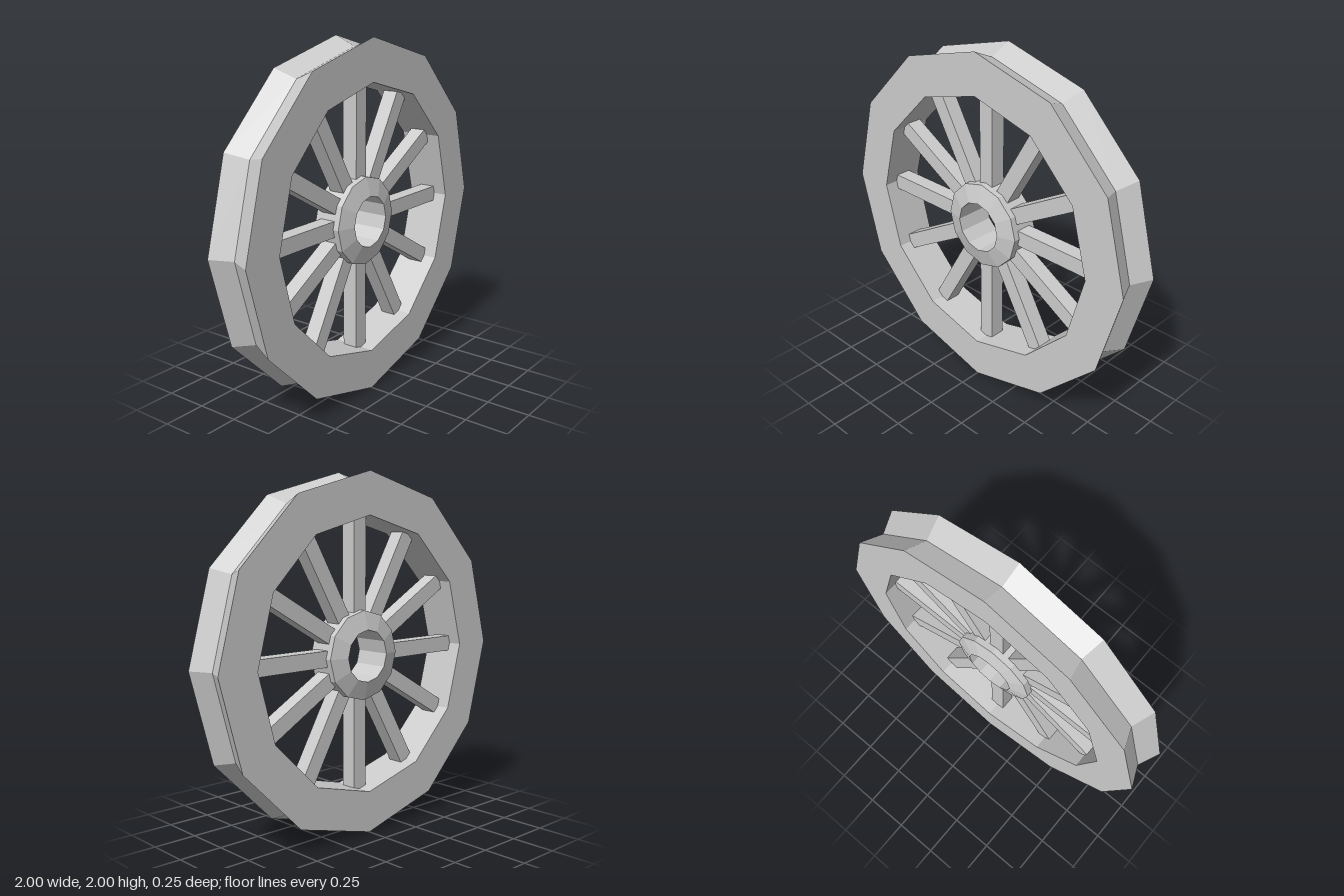
import * as THREE from 'three';

const SIDES = 12;
const material = new THREE.MeshStandardMaterial({ color: 0xcccccc, flatShading: true });

// Revolve a closed [radius, z] profile around the z axle
function ring(name, profile) {
  const points = [...profile, profile[0]].map(([r, z]) => new THREE.Vector2(r, z));
  const geometry = new THREE.LatheGeometry(points, SIDES).rotateX(Math.PI / 2);
  const mesh = new THREE.Mesh(geometry, material);
  mesh.name = name;
  return mesh;
}

export function createModel() {
  const wheel = new THREE.Group();
  wheel.name = 'wheel';
  wheel.position.y = 1;

  // Rim with a V groove around its tread
  wheel.add(ring('rim', [
    [0.765, -0.125], [1, -0.125], [0.945, 0], [1, 0.125], [0.765, 0.125],
  ]));

  // Hub with sloped faces and an open axle hole
  wheel.add(ring('hub', [
    [0.145, -0.11], [0.25, -0.08], [0.25, 0.08], [0.145, 0.11],
  ]));

  // Square spokes, sunk slightly into hub and rim
  const inner = 0.21, outer = 0.78;
  const spokeGeometry = new THREE.BoxGeometry(0.09, outer - inner, 0.09)
    .translate(0, (inner + outer) / 2, 0);
  const spokes = new THREE.Group();
  spokes.name = 'spokes';
  for (let i = 0; i < SIDES; i++) {
    const spoke = new THREE.Mesh(spokeGeometry, material);
    spoke.name = 'spoke';
    spoke.rotation.z = (i / SIDES) * Math.PI * 2;
    spokes.add(spoke);
  }
  wheel.add(spokes);

  const model = new THREE.Group();
  model.name = 'spokedWheel';
  model.add(wheel);
  return model;
}
